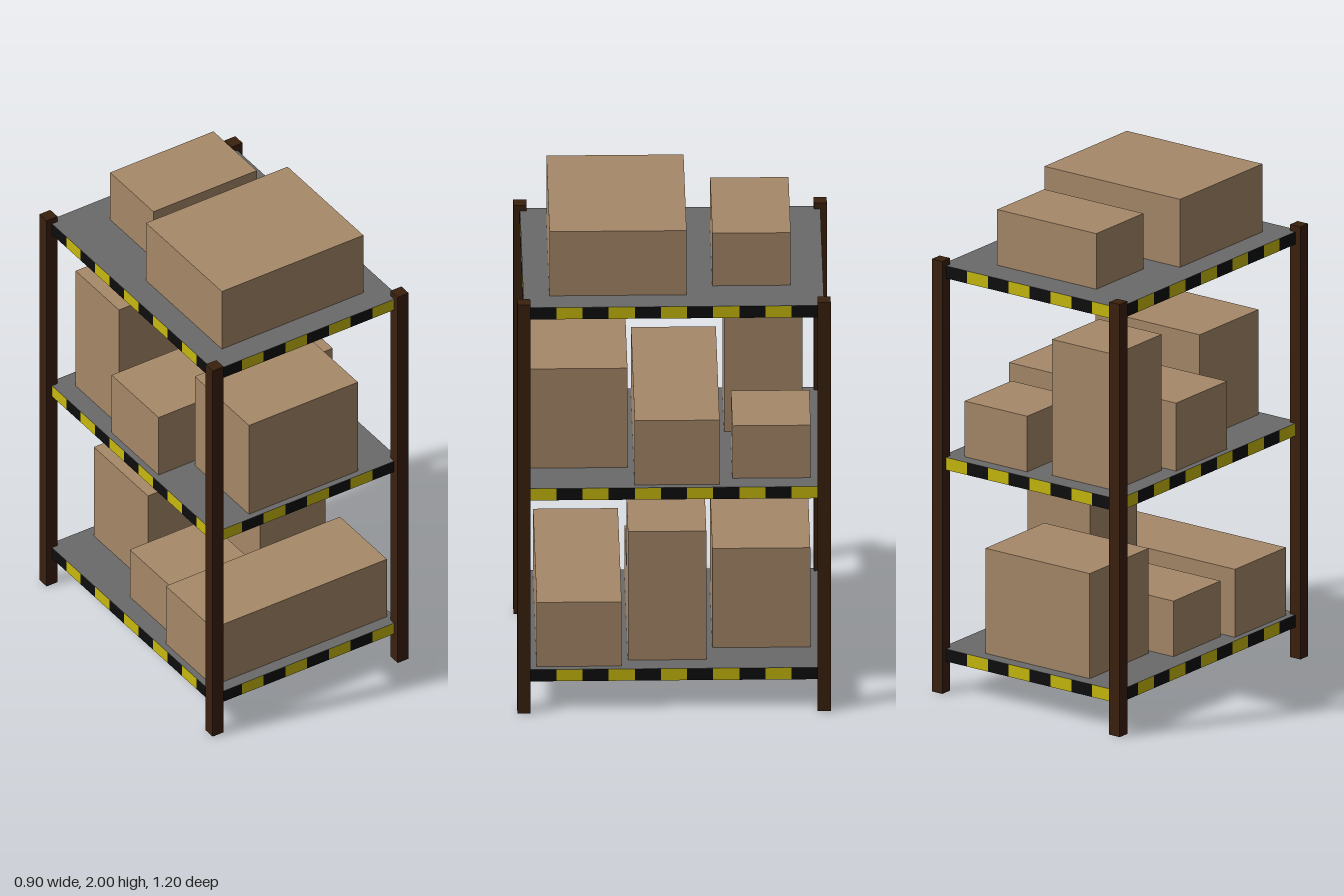
import * as THREE from 'three';

const material = (name, color) => {
  const m = new THREE.MeshStandardMaterial({ color });
  m.name = name;
  return m;
};

export function createModel() {
  const cardboard = material('cardboard', 0xa78969);
  const darkWood = material('dark brown', 0x3a200e);
  const grey = material('shelf grey', 0x6a6a6a);
  const yellow = material('hazard yellow', 0xc9ba0e);
  const black = material('hazard black', 0x0d0d0d);

  const rack = new THREE.Group();
  rack.name = 'loadedStorageRack';

  // Box given by its limits on each axis
  const block = (name, mat, x0, x1, y0, y1, z0, z1, parent) => {
    const mesh = new THREE.Mesh(new THREE.BoxGeometry(x1 - x0, y1 - y0, z1 - z0), mat);
    mesh.position.set((x0 + x1) / 2, (y0 + y1) / 2, (z0 + z1) / 2);
    mesh.name = name;
    parent.add(mesh);
  };

  // Four corner posts
  for (const x of [-0.425, 0.425]) {
    for (const z of [-0.575, 0.575]) {
      block('cornerPost', darkWood, x - 0.025, x + 0.025, 0, 1.75, z - 0.025, z + 0.025, rack);
    }
  }

  // Row of alternating stripes along one shelf edge, facing outward
  const stripe = new THREE.PlaneGeometry(0.1, 0.05);
  const stripeRow = (count, distance, angle, y, yellowFirst, parent) => {
    const row = new THREE.Group();
    row.name = 'hazardStripes';
    for (let i = 0; i < count; i++) {
      const isYellow = (i % 2 === 0) === yellowFirst;
      const mesh = new THREE.Mesh(stripe, isYellow ? yellow : black);
      mesh.name = isYellow ? 'yellowStripe' : 'blackStripe';
      mesh.position.set((i - (count - 1) / 2) * 0.1, y, distance + 0.001);
      row.add(mesh);
    }
    row.rotation.y = angle;
    parent.add(row);
  };

  // Shelves with the cartons on each: [x0, x1, z0, z1, top]
  const levels = [
    { name: 'bottomShelf', y: 0.125, yellowFirst: false, cartons: [
      [-0.4, 0.4, 0.2, 0.525, 0.45],
      [0.05, 0.35, -0.125, 0.175, 0.725],
      [-0.35, 0, -0.125, 0.175, 0.4],
      [-0.25, 0.25, -0.525, -0.15, 0.6],
    ] },
    { name: 'middleShelf', y: 0.9, yellowFirst: true, cartons: [
      [-0.25, 0.25, 0.175, 0.55, 1.375],
      [-0.4, 0.4, -0.175, 0.15, 1.225],
      [-0.35, -0.05, -0.5, -0.2, 1.5],
      [0.05, 0.35, -0.525, -0.225, 1.175],
    ] },
    { name: 'topShelf', y: 1.675, yellowFirst: false, cartons: [
      [-0.325, 0.325, -0.05, 0.475, 2],
      [-0.225, 0.25, -0.45, -0.15, 1.95],
    ] },
  ];

  for (const { name, y, yellowFirst, cartons } of levels) {
    const level = new THREE.Group();
    level.name = name;
    block('shelfBoard', grey, -0.425, 0.425, y, y + 0.05, -0.575, 0.575, level);
    for (const turn of [0, Math.PI]) {
      stripeRow(8, 0.575, turn, y + 0.025, yellowFirst, level);
      stripeRow(11, 0.425, turn + Math.PI / 2, y + 0.025, yellowFirst, level);
    }
    for (const [x0, x1, z0, z1, top] of cartons) {
      block('carton', cardboard, x0, x1, y + 0.05, top, z0, z1, level);
    }
    rack.add(level);
  }

  return rack;
}
